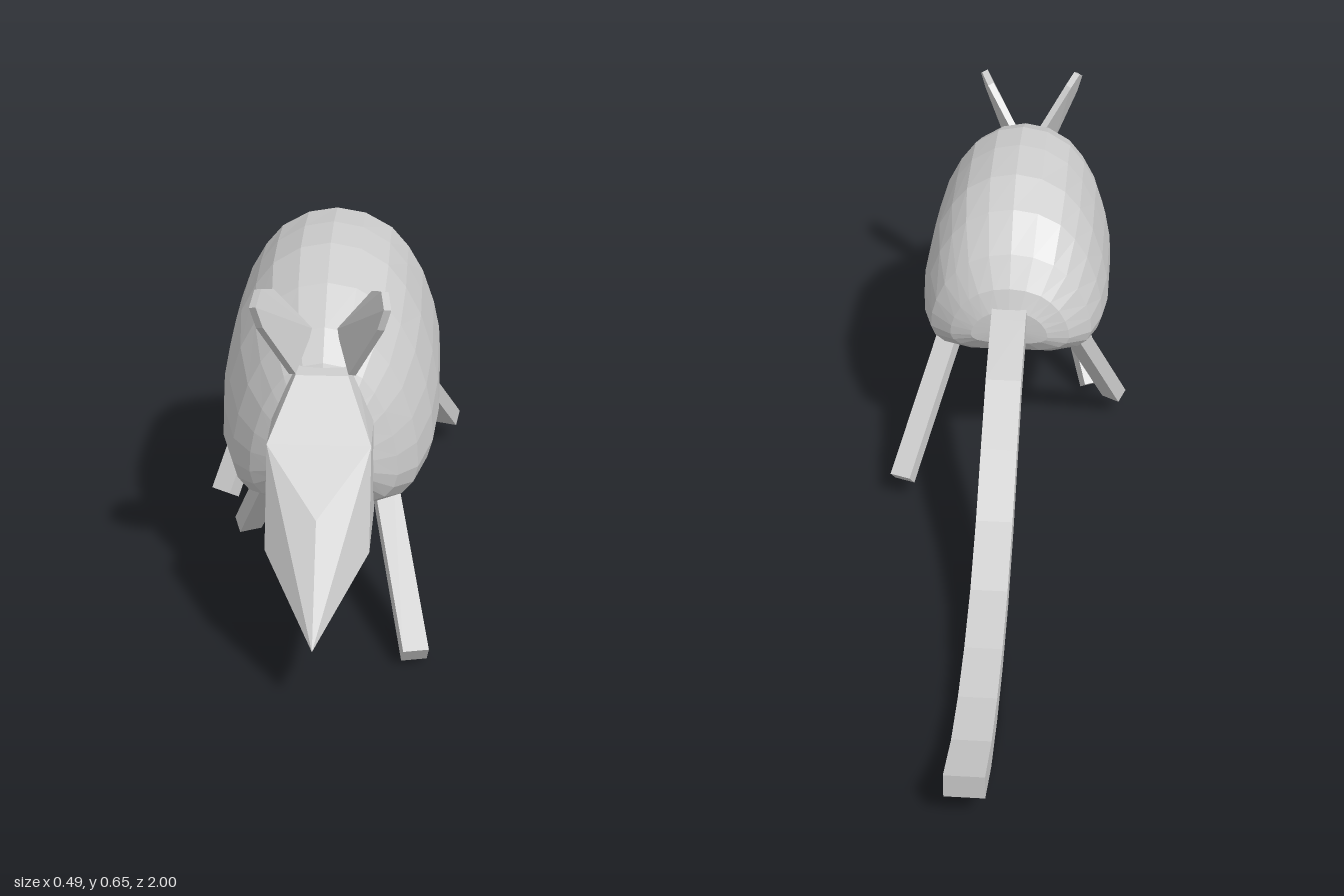
import * as THREE from 'three';
import { ConvexGeometry } from 'three/addons/geometries/ConvexGeometry.js';

const material = new THREE.MeshStandardMaterial({ color: 0xcccccc, flatShading: true });
const V = (x, y, z) => new THREE.Vector3(x, y, z);

function part(group, name, geometry) {
  const mesh = new THREE.Mesh(geometry, material);
  mesh.name = name;
  group.add(mesh);
  return mesh;
}

// Egg-shaped trunk: one half section, scaled to each station along z
function bodyGeometry() {
  const half = [[0, 0], [0.5, 0.0], [0.83, 0.06], [0.95, 0.13], [1, 0.22], [0.985, 0.36], [0.93, 0.5],
    [0.82, 0.67], [0.68, 0.8], [0.52, 0.9], [0.27, 0.975], [0, 1]];
  const ring = [...half, ...half.slice(1, -1).reverse().map(([x, v]) => [-x, v])];
  // z, half width, bottom, top
  const stations = [
    [0.04, 0, 0.37, 0.37], [0.043, 0.08, 0.335, 0.41], [0.06, 0.125, 0.31, 0.455], [0.1, 0.17, 0.285, 0.515],
    [0.165, 0.19, 0.265, 0.585], [0.245, 0.2, 0.25, 0.627], [0.36, 0.2, 0.235, 0.64], [0.46, 0.2, 0.223, 0.635],
    [0.56, 0.19, 0.212, 0.597], [0.64, 0.165, 0.208, 0.545], [0.69, 0.13, 0.23, 0.5], [0.72, 0.09, 0.27, 0.44],
    [0.73, 0, 0.35, 0.35]];
  const positions = [], index = [], n = ring.length;
  stations.forEach(([z, w, low, high], i) => {
    ring.forEach(([x, v], j) => {
      positions.push(x * w, low + v * (high - low), z);
      if (i === stations.length - 1) return;
      const a = i * n + j, b = i * n + (j + 1) % n;
      if (i > 0) index.push(a, b, b + n);
      if (i === 0) index.push(a, b + n, a + n);
      else if (i < stations.length - 2) index.push(a, b + n, a + n);
    });
  });
  const geometry = new THREE.BufferGeometry();
  geometry.setAttribute('position', new THREE.Float32BufferAttribute(positions, 3));
  geometry.setIndex(index);
  geometry.computeVertexNormals();
  return geometry;
}

// Faceted wedge head with a pointed snout
function headGeometry() {
  const points = [V(0, 0.3, 0.885), V(0, 0.12, 1), V(0, 0.09, 0.92)];
  for (const s of [1, -1]) {
    points.push(V(s * 0.045, 0.49, 0.72), V(s * 0.088, 0.4, 0.805), V(s * 0.088, 0.235, 0.87),
      V(s * 0.088, 0.205, 0.66), V(s * 0.045, 0.5, 0.62), V(s * 0.088, 0.4, 0.62));
  }
  return new ConvexGeometry(points);
}

// Thin leaf-shaped plate leaning outward
function earGeometry(s) {
  const outline = [[0.045, 0.49, 0.715], [0.02, 0.54, 0.635], [0.083, 0.635, 0.69],
    [0.1, 0.65, 0.73], [0.106, 0.632, 0.768], [0.095, 0.595, 0.765]];
  return new ConvexGeometry(outline.flatMap(([x, y, z]) =>
    [V(s * x, y, z), V(s * (x + 0.012), y - 0.004, z - 0.008)]));
}

// Curved strip of constant width, made from its side outline
function tailGeometry() {
  const path = [[0.08, 0.4], [0.03, 0.38], [-0.1, 0.32], [-0.22, 0.235], [-0.34, 0.145], [-0.475, 0.075],
    [-0.61, 0.04], [-0.74, 0.03], [-0.87, 0.042], [-1, 0.088]];
  const edge = (d) => path.map(([z, y], i) => {
    const [z0, y0] = path[Math.max(i - 1, 0)], [z1, y1] = path[Math.min(i + 1, path.length - 1)];
    const length = Math.hypot(z1 - z0, y1 - y0);
    const shift = i === path.length - 1 ? 0 : (d * (y1 - y0)) / length;
    return new THREE.Vector2(-z - shift, y + (d * (z0 - z1)) / length);
  });
  const shape = new THREE.Shape([...edge(-0.026), ...edge(0.026).reverse()]);
  const geometry = new THREE.ExtrudeGeometry(shape, { depth: 0.072, bevelEnabled: false });
  return geometry.translate(0, 0, -0.036).rotateY(Math.PI / 2);
}

export function createModel() {
  const model = new THREE.Group();
  model.name = 'mouse';
  part(model, 'body', bodyGeometry());
  part(model, 'head', headGeometry());
  part(model, 'tail', tailGeometry());
  part(model, 'leftEar', earGeometry(1));
  part(model, 'rightEar', earGeometry(-1));

  // Straight bar legs in a walking pose
  const legs = [
    ['leftFrontLeg', V(0.09, 0.245, 0.5), V(0.167, 0.025, 0.85)],
    ['rightFrontLeg', V(-0.09, 0.24, 0.54), V(-0.167, 0.022, 0.385)],
    ['leftRearLeg', V(0.135, 0.28, 0.18), V(0.22, 0.05, -0.06)],
    ['rightRearLeg', V(-0.135, 0.28, 0.18), V(-0.22, 0.048, 0.31)]];
  for (const [name, hip, foot] of legs) {
    const leg = part(model, name, new THREE.BoxGeometry(0.045, 0.033, hip.distanceTo(foot)));
    leg.position.lerpVectors(hip, foot, 0.5);
    leg.lookAt(foot);
  }
  return model;
}
